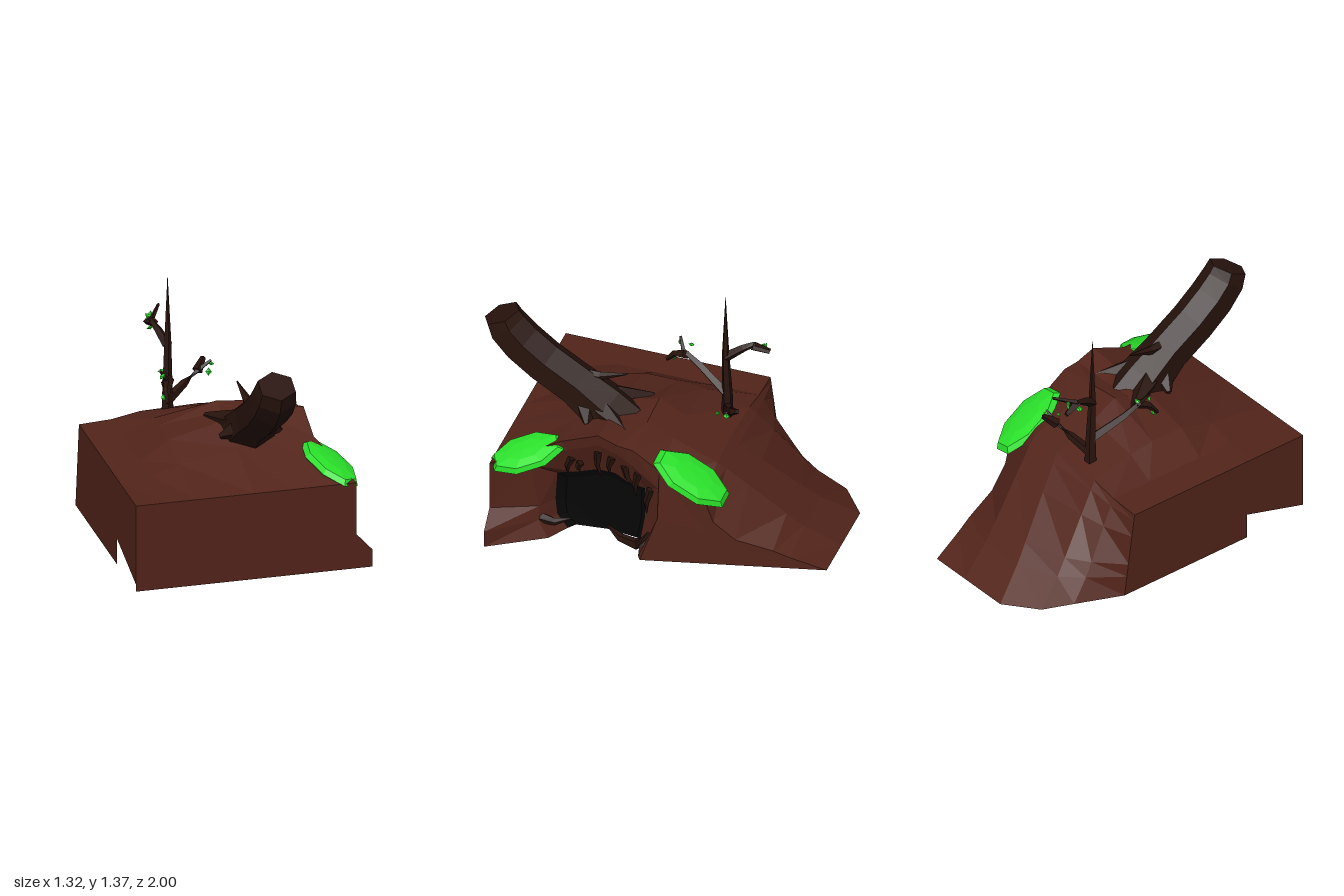
import * as THREE from 'three';

const mat = (color) => new THREE.MeshStandardMaterial({ color, flatShading: true });
const EARTH = mat(0x52241a), BARK = mat(0x28130d), LEAF = mat(0x2ae02a), DARK = mat(0x070707);
const V = (p) => new THREE.Vector3(...p);

function add(parent, name, geometry, material) {
  const mesh = new THREE.Mesh(geometry, material);
  mesh.name = name;
  parent.add(mesh);
  return mesh;
}

// Surface through rows of points
function grid(rows) {
  const n = rows[0].length, index = [];
  for (let i = 0; i < rows.length - 1; i++)
    for (let j = 0; j < n - 1; j++) {
      const a = i * n + j, b = a + n;
      index.push(a, b, b + 1, a, b + 1, a + 1);
    }
  const g = new THREE.BufferGeometry();
  g.setAttribute('position', new THREE.Float32BufferAttribute(rows.flat(2), 3));
  g.setIndex(index);
  g.computeVertexNormals();
  return g;
}

const flat = (points) => new THREE.ShapeGeometry(new THREE.Shape(points.map((p) => new THREE.Vector2(...p))));
const lathe = (points) => new THREE.LatheGeometry(points.map((p) => new THREE.Vector2(...p)), 8).rotateY(Math.PI / 8);

// Tapered limb along a path, closed at both ends
function limb(points, radii, sides = 5) {
  const path = points.map(V), rows = [];
  const ring = (c, u, w, r) => Array.from({ length: sides + 1 }, (_, j) => {
    const a = (j / sides) * Math.PI * 2;
    return c.clone().addScaledVector(u, Math.cos(a) * r).addScaledVector(w, Math.sin(a) * r).toArray();
  });
  path.forEach((c, i) => {
    const t = path[Math.min(i + 1, path.length - 1)].clone().sub(path[Math.max(i - 1, 0)]).normalize();
    const ref = Math.abs(t.x) > 0.8 ? V([0, 1, 0]) : V([1, 0, 0]);
    const u = new THREE.Vector3().crossVectors(ref, t).normalize();
    const w = new THREE.Vector3().crossVectors(t, u);
    if (i === 0) rows.push(ring(c, u, w, 0));
    rows.push(ring(c, u, w, radii[i]));
    if (i === path.length - 1) rows.push(ring(c, u, w, 0));
  });
  return grid(rows.reverse());
}

function createMound() {
  const mound = new THREE.Group();
  mound.name = 'mound';

  // Roof: heights at six x stations for each z, from the crease to the front
  const xs = [-0.66, -0.48, -0.32, 0, 0.2];
  const roof = [
    [-0.36, [0.52, 0.53, 0.56, 0.57, 0.56, 0.44], 0.4],
    [-0.11, [0.52, 0.53, 0.62, 0.67, 0.66, 0.6], 0.43],
    [0.04, [0.52, 0.53, 0.64, 0.75, 0.73, 0.7], 0.43],
    [0.13, [0.52, 0.53, 0.64, 0.72, 0.71, 0.71], 0.43],
    [0.24, [0.52, 0.53, 0.64, 0.72, 0.73, 0.75], 0.43],
    [0.45, [0.52, 0.53, 0.58, 0.64, 0.65, 0.66], 0.43],
    [0.81, [0.52, 0.52, 0.52, 0.52, 0.52, 0.52], 0.57],
  ].map(([z, ys, right]) => ys.map((y, j) => [j < 5 ? xs[j] : right, y, z]));
  add(mound, 'roof', grid(roof), EARTH);

  // Back slope: distance out, height share, and height of the ledge at the flank
  const toe = [[-0.66, -0.43], [-0.55, -0.69], [-0.48, -0.86], [-0.3, -1], [0, -1], [0.24, -1]];
  const slope = [[1, 0, 0.02], [0.7, 0.23, 0.09], [0.56, 0.38, 0.13], [0.25, 0.73, 0.19], [0.07, 0.93, 0.3], [0, 1, 0.44]]
    .map(([t, h, ledge]) => toe.map(([x, z], j) => {
      const c = roof[0][j];
      return [c[0] + (x - c[0]) * t, j === 5 ? ledge : 0.02 + (c[1] - 0.02) * h, c[2] + (z - c[2]) * t];
    }));
  add(mound, 'backSlope', grid(slope), EARTH);

  // Flank behind the burrow mouth
  const top = [roof[1][5], ...slope.map((r) => r[5]).reverse()];
  const foot = [0, 0.35, 0.4, 0.52, 0.72, 0.83, 1].map((t) => [0.49 - 0.25 * t, 0.02, -0.02 - 0.98 * t]);
  const middle = top.map((p, j) => p.map((v, k) => (v + foot[j][k]) / 2));
  middle[0] = [0.46, 0.3, -0.11];
  add(mound, 'flank', grid([top, middle, foot]), EARTH);

  // Burrow mouth: outer edge, rim, dark throat
  const outer = [[0.66, 0.02, 0.81], [0.66, 0.12, 0.81], [0.57, 0.22, 0.81], ...[6, 5, 4, 3, 2, 1].map((i) => roof[i][5]),
    [0.46, 0.3, -0.11], foot[0]];
  const rim = [[0.47, 0.02, 0.51], [0.46, 0.12, 0.57], [0.44, 0.2, 0.57], [0.46, 0.48, 0.62], [0.42, 0.6, 0.42],
    [0.42, 0.68, 0.24], [0.42, 0.64, 0.13], [0.42, 0.59, 0.05], [0.43, 0.48, -0.1], [0.44, 0.22, -0.1], [0.46, 0.02, 0]];
  const throat = [[0.02, 0.44], [0.1, 0.5], [0.2, 0.51], [0.38, 0.5], [0.41, 0.4], [0.46, 0.27], [0.46, 0.17],
    [0.42, 0.1], [0.4, 0], [0.2, 0], [0.02, 0.03]].map(([y, z]) => [0.35, y, z]);
  const deep = throat.map(([, y, z]) => [0.3, 0.015 + (y - 0.02) * 0.85, 0.24 + (z - 0.24) * 0.85]);
  add(mound, 'mouthWall', grid([outer, rim]), EARTH);
  add(mound, 'mouthRim', grid([rim, throat]), EARTH);
  add(mound, 'burrow', grid([throat, deep, deep.map(() => [0.28, 0.015, 0.24])]), DARK);

  // Flat walls and underside
  add(mound, 'frontWall', flat([[-0.66, 0.02], [0.66, 0.02], [0.66, 0.12], [0.57, 0.22], [0.57, 0.52], [-0.66, 0.52]]), EARTH)
    .position.z = 0.81;
  add(mound, 'sideWall', flat([[-0.43, 0.02], [0.42, 0.02], [0.42, 0.17], [0.81, 0.06], [0.81, 0.52], [-0.36, 0.52]])
    .rotateY(-Math.PI / 2), EARTH).position.x = -0.66;
  add(mound, 'underside', flat([...toe, [0.49, -0.02], [0.26, 0.04], [0.13, 0.16], [0.17, 0.43],
    [0.47, 0.51], [0.66, 0.81], [-0.66, 0.81], [-0.525, 0.61], [-0.66, 0.42]]).rotateX(Math.PI / 2), EARTH).position.y = 0.02;

  // Shallow dish under the burrow, facing down
  add(mound, 'burrowFloor', lathe([[0, 0], [0.5, 0], [1, 0.02]]).scale(0.31, 1, 0.39), EARTH).position.set(0.19, 0, 0.24);
  return mound;
}

function createLog() {
  const log = new THREE.Group();
  log.name = 'fallenLog';
  add(log, 'trunk', limb([[0.1, 0.58, 0.22], [0.1, 0.7, 0.33], [0.1, 0.81, 0.48], [0.1, 0.92, 0.66], [0.1, 1.02, 0.79],
    [0.1, 1.11, 0.875], [0.1, 1.175, 0.905]], [0.18, 0.145, 0.125, 0.125, 0.125, 0.12, 0.107], 6), BARK);
  // Splayed roots
  for (const [x, y, z] of [[-0.08, 0.7, 0.1], [0.28, 0.7, 0.14], [-0.07, 0.68, 0.36], [0.27, 0.68, 0.36]])
    add(log, 'root', limb([[0.1, 0.76, 0.42], [(0.1 + x) / 2, 0.72, (0.42 + z) / 2], [x, y, z]], [0.08, 0.06, 0.015]), BARK);
  add(log, 'brokenBranch', limb([[0.09, 0.87, 0.47], [0.08, 0.88, 0.35], [0.07, 0.92, 0.2]], [0.04, 0.025, 0.004]), BARK);
  return log;
}

function createTree() {
  const tree = new THREE.Group();
  tree.name = 'bareTree';
  add(tree, 'trunk', limb([[-0.19, 0.55, -0.28], [-0.19, 0.72, -0.28], [-0.19, 1, -0.27], [-0.19, 1.37, -0.27]],
    [0.036, 0.03, 0.02, 0.001]), BARK);
  // Branches with their forks
  const branches = [
    [[-0.19, 0.73, -0.27], [-0.25, 0.83, -0.1], [-0.27, 0.89, 0], [-0.31, 0.95, 0.03]],
    [[-0.25, 0.88, -0.02], [-0.28, 0.85, 0.05], [-0.29, 0.79, 0.1]],
    [[-0.19, 0.64, -0.28], [-0.08, 0.71, -0.33], [0, 0.76, -0.36], [0.08, 0.81, -0.37]],
    [[0, 0.76, -0.36], [0.05, 0.81, -0.42]],
    [[-0.19, 0.97, -0.27], [-0.22, 1.03, -0.36], [-0.24, 1.06, -0.42], [-0.17, 1.1, -0.53]],
    [[-0.23, 1.05, -0.41], [-0.25, 1.02, -0.5]],
  ];
  for (const b of branches)
    add(tree, 'branch', limb(b, b.map((_, i) => 0.028 * (1 - i / b.length) + 0.001), 4), BARK);
  // Sparse leaves
  const leaves = [[-0.29, 0.925, -0.04], [-0.3, 0.81, 0.06], [-0.3, 0.92, 0.03], [0.08, 0.79, -0.37], [0.05, 0.77, -0.31],
    [-0.24, 1.06, -0.48], [-0.25, 1.02, -0.41], [-0.23, 1.07, -0.47]];
  leaves.forEach((p, i) => {
    const leaf = add(tree, 'leaf', new THREE.OctahedronGeometry(0.022).scale(1, 0.45, 0.8), LEAF);
    leaf.position.set(...p);
    leaf.rotation.set(i, i * 2, 0.3);
  });
  return tree;
}

// Faceted moss pad lying on a slope
function createMoss(center, normal, halfX, halfZ, turn) {
  const g = lathe([[0, -0.03], [0.85, -0.03], [1, -0.015], [0.88, 0.015], [0.5, 0.028], [0, 0.032]])
    .scale(halfX, 1, halfZ).rotateY(turn);
  const moss = new THREE.Mesh(g, LEAF);
  moss.name = 'mossPad';
  moss.position.set(...center);
  moss.quaternion.setFromUnitVectors(V([0, 1, 0]), V(normal).normalize());
  return moss;
}

function createMouthRoots() {
  const roots = new THREE.Group();
  roots.name = 'mouthRoots';
  // Hanging roots: z and y at the top, then at the tip
  const hanging = [[0.4, 0.54, 0.43, 0.42], [0.35, 0.52, 0.36, 0.45], [0.25, 0.62, 0.24, 0.44], [0.17, 0.6, 0.19, 0.47],
    [0.1, 0.56, 0.05, 0.42], [0.02, 0.53, 0.04, 0.36], [-0.05, 0.44, -0.02, 0.26]];
  for (const [z, y, z2, y2] of hanging)
    add(roots, 'hangingRoot', limb([[0.4, y, z], [0.4, (y + y2) / 2, (z + z2) / 2 + 0.01], [0.38, y2, z2]],
      [0.022, 0.016, 0.003], 4), BARK);
  // Ground roots beside the opening
  add(roots, 'groundRoot', limb([[0.4, 0.12, -0.05], [0.49, 0.12, 0], [0.45, 0.11, 0.1], [0.4, 0.14, 0.2]],
    [0.03, 0.035, 0.025, 0.004]), BARK);
  add(roots, 'groundRoot', limb([[0.43, 0.12, 0.57], [0.42, 0.1, 0.49], [0.4, 0.13, 0.4]], [0.03, 0.022, 0.004]), BARK);
  return roots;
}

export function createModel() {
  const model = new THREE.Group();
  model.name = 'burrowMound';
  model.add(
    createMound(), createLog(), createTree(), createMouthRoots(),
    createMoss([0.475, 0.575, 0.63], [0.38, 1, 0.2], 0.125, 0.215, 0.45),
    createMoss([0.36, 0.55, -0.275], [0.25, 1, -0.58], 0.135, 0.24, 0),
  );
  return model;
}
